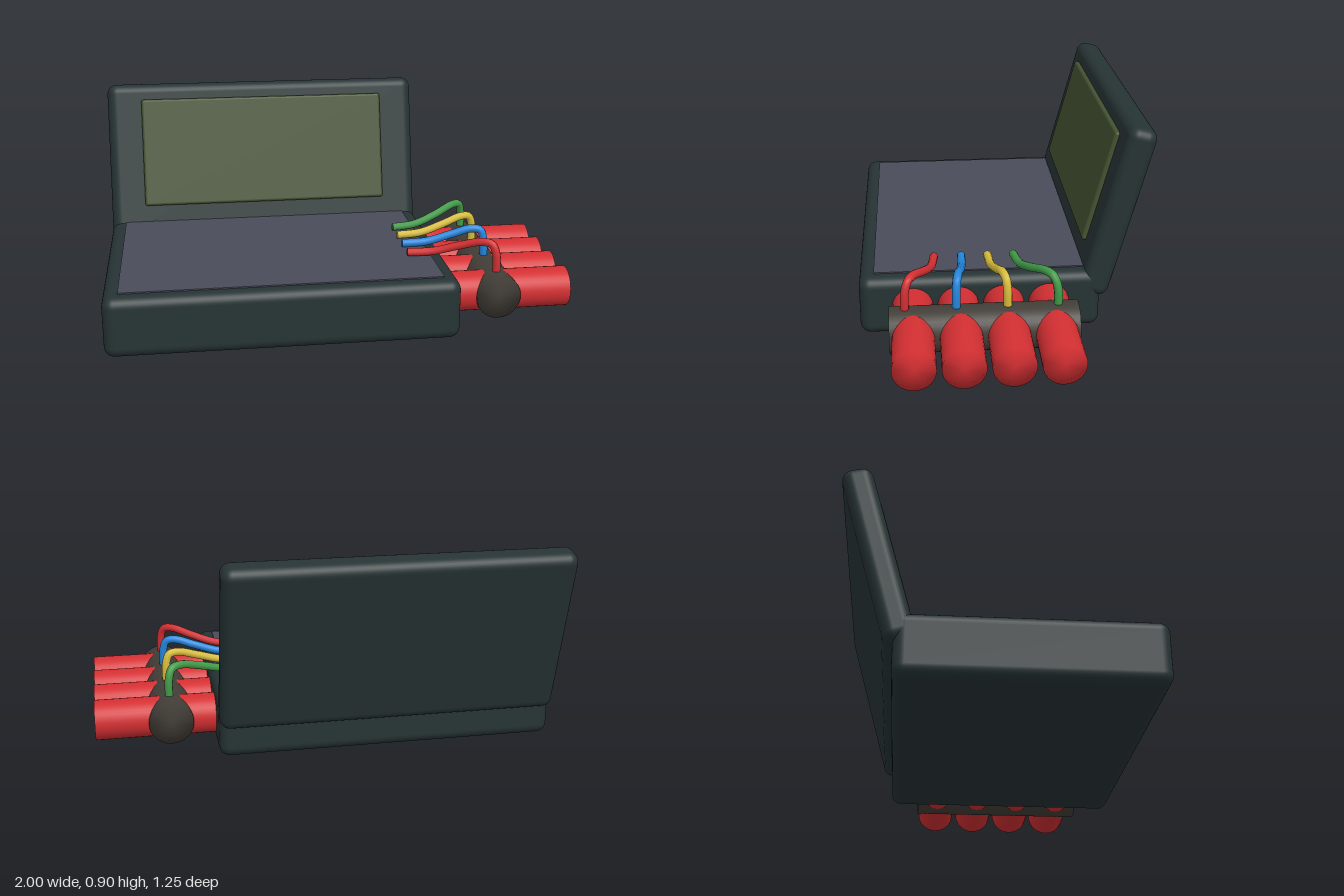
import * as THREE from 'three';
import { mergeVertices } from 'three/addons/utils/BufferGeometryUtils.js';
import { RoundedBoxGeometry } from 'three/addons/geometries/RoundedBoxGeometry.js';

const material = (name, color) => {
  const m = new THREE.MeshStandardMaterial({ color });
  m.name = name;
  return m;
};

// Cylinder whose rim and caps share smooth normals
function softCylinder(radius, length) {
  const g = new THREE.CylinderGeometry(radius, radius, length, 32);
  g.deleteAttribute('normal');
  g.deleteAttribute('uv');
  const merged = mergeVertices(g);
  merged.computeVertexNormals();
  return merged;
}

export function createModel() {
  const body = material('dark casing', 0x263334);
  const screenGreen = material('screen green', 0x445231);
  const deck = material('slate grey', 0x4a4b5a);
  const red = material('red', 0xd32f32);
  const strapBrown = material('strap brown', 0x423d37);
  const blue = material('blue', 0x2486dc);
  const yellow = material('yellow', 0xd8bd3c);
  const green = material('green', 0x429a48);

  const model = new THREE.Group();
  const add = (parent, name, geometry, mat, x = 0, y = 0, z = 0) => {
    const mesh = new THREE.Mesh(geometry, mat);
    mesh.name = name;
    mesh.position.set(x, y, z);
    parent.add(mesh);
    return mesh;
  };

  // Case base with its inset deck plate
  add(model, 'base', new RoundedBoxGeometry(1.48, 0.26, 1.03, 4, 0.045), body, -0.26, 0.13, 0.108);
  add(model, 'deckPlate', new THREE.BoxGeometry(1.35, 0.009, 0.9), deck, -0.26, 0.261, 0.11);

  // Open lid, leaning back, with the screen on its inner face
  const lid = new THREE.Group();
  lid.name = 'lid';
  lid.position.set(-0.26, 0.518, -0.475);
  lid.rotation.x = -Math.PI / 12;
  model.add(lid);
  add(lid, 'lidShell', new RoundedBoxGeometry(1.48, 0.77, 0.125, 4, 0.045), body);
  add(lid, 'screen', new RoundedBoxGeometry(1.16, 0.51, 0.04, 3, 0.012), screenGreen, 0, 0.052, 0.062);

  // Four sticks with wires arching from the deck to each one
  const wirePath = [ // x, y, share of the sideways travel
    [0.31, 0.284, 0], [0.42, 0.29, 0.12], [0.53, 0.322, 0.37],
    [0.62, 0.349, 0.7], [0.66, 0.342, 0.88], [0.675, 0.3, 0.98], [0.677, 0.2, 1],
  ];
  const wires = [
    ['redWire', red, 0.3, 0.43], ['blueWire', blue, 0.182, 0.22],
    ['yellowWire', yellow, 0.068, 0.01], ['greenWire', green, -0.045, -0.197],
  ];
  wires.forEach(([name, mat, from, to], i) => {
    const stick = add(model, `stick${i + 1}`, softCylinder(0.0875, 0.65), red, 0.675, 0.13, 0.398 - i * 0.194);
    stick.rotation.z = -Math.PI / 2;

    const points = wirePath.map(([x, y, f]) => new THREE.Vector3(x, y, from + (to - from) * f));
    add(model, name, new THREE.TubeGeometry(new THREE.CatmullRomCurve3(points), 40, 0.018, 10), mat);
    // Cap the loose wire end
    const cap = add(model, name + 'End', new THREE.CircleGeometry(0.018, 10), mat, 0.31, 0.284, from);
    cap.rotation.y = -Math.PI / 2;
  });

  // Round strap running across the sticks
  const strap = add(model, 'strap', softCylinder(0.097, 0.775), strapBrown, 0.675, 0.131, 0.107);
  strap.rotation.x = Math.PI / 2;

  return model;
}
